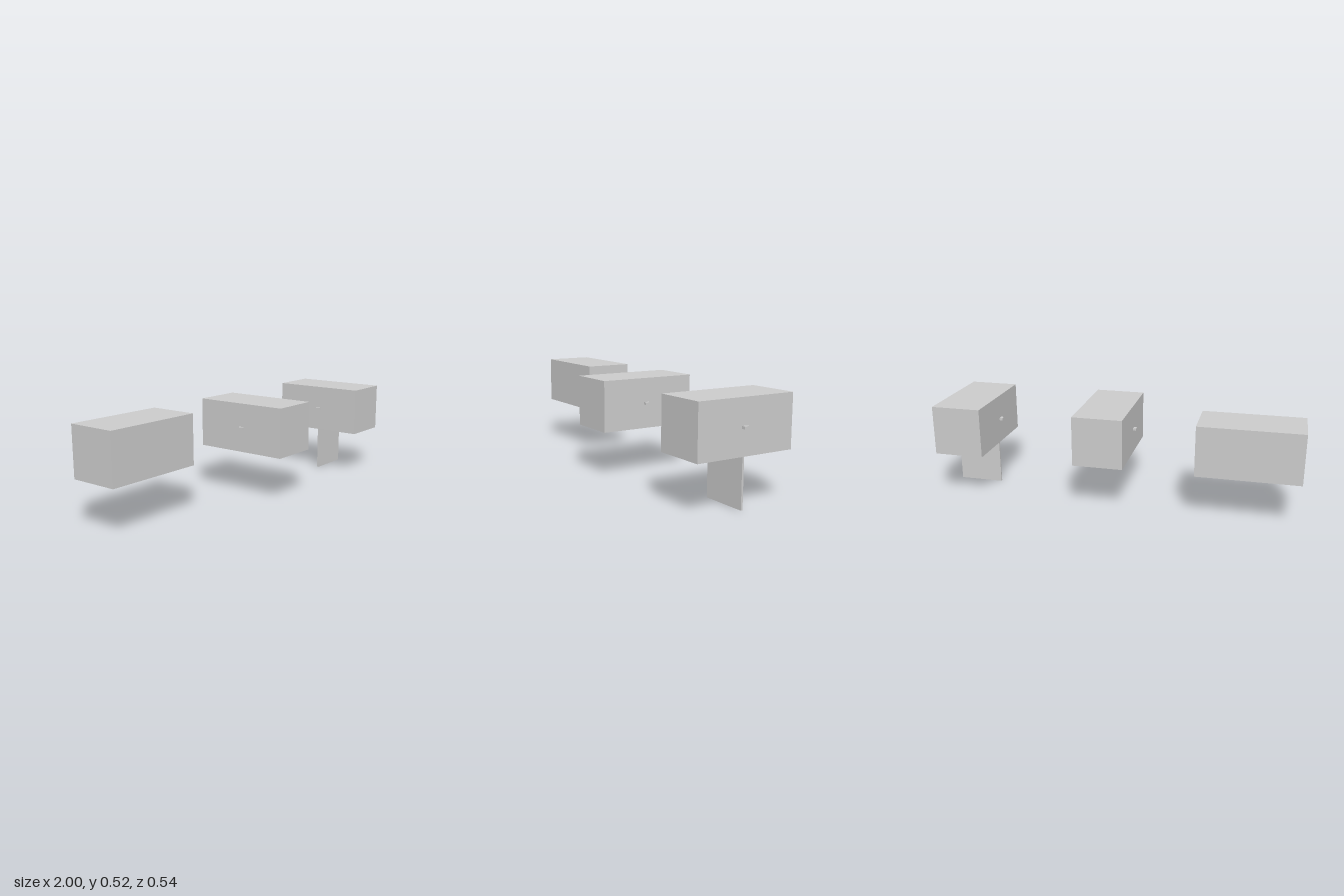
import * as THREE from 'three';

const material = new THREE.MeshStandardMaterial({ color: 0xcccccc });

// Shared dimensions
const BOTTOM = 0.253, TOP = 0.523, HALF_W = 0.136, HALF_L = 0.272, WALL = 0.01;

// Axis-aligned block given by its minimum and maximum on each axis
function block(name, [x0, x1], [y0, y1], [z0, z1]) {
  const mesh = new THREE.Mesh(new THREE.BoxGeometry(x1 - x0, y1 - y0, z1 - z0), material);
  mesh.name = name;
  mesh.position.set((x0 + x1) / 2, (y0 + y1) / 2, (z0 + z1) / 2);
  return mesh;
}

// Flat pin that crosses the box and pokes out on both sides
const hingePin = () => block('hingePin', [-0.153, 0.153], [0.381, 0.394], [0, 0.028]);

function closedBox() {
  const group = new THREE.Group();
  group.name = 'closedBox';
  group.add(block('body', [-HALF_W, HALF_W], [BOTTOM, TOP], [-HALF_L, HALF_L]), hingePin());
  return group;
}

function openBox() {
  const group = new THREE.Group();
  group.name = 'openBox';
  const inner = HALF_W - WALL;
  const height = [BOTTOM, TOP - WALL];

  // Lid and four walls, open underneath
  group.add(block('lid', [-HALF_W, HALF_W], [TOP - WALL, TOP], [-HALF_L, HALF_L]));
  group.add(block('rightWall', [-HALF_W, -inner], height, [-HALF_L, HALF_L]));
  group.add(block('leftWall', [inner, HALF_W], height, [-HALF_L, HALF_L]));
  group.add(block('frontWall', [-inner, inner], height, [HALF_L - WALL, HALF_L]));
  group.add(block('backWall', [-inner, inner], height, [-HALF_L, -HALF_L + WALL]));

  // Cross dividers either side of the middle
  for (const z of [-0.13, 0.13]) {
    group.add(block('divider', [-inner, inner], height, [z - WALL / 2, z + WALL / 2]));
  }

  // Panel hanging from the pin
  group.add(hingePin());
  group.add(block('hangingPanel', [-0.124, 0.124], [0, 0.394], [0.001, 0.011]));
  return group;
}

export function createModel() {
  const model = new THREE.Group();
  model.name = 'boxSet';

  // Plain box lying crosswise
  model.add(block('crosswiseBox', [-1, -0.457], [BOTTOM, TOP], [-HALF_L, 0]));

  const middle = closedBox();
  middle.position.x = 0.058;
  const end = openBox();
  end.position.x = 0.847;
  model.add(middle, end);
  return model;
}
